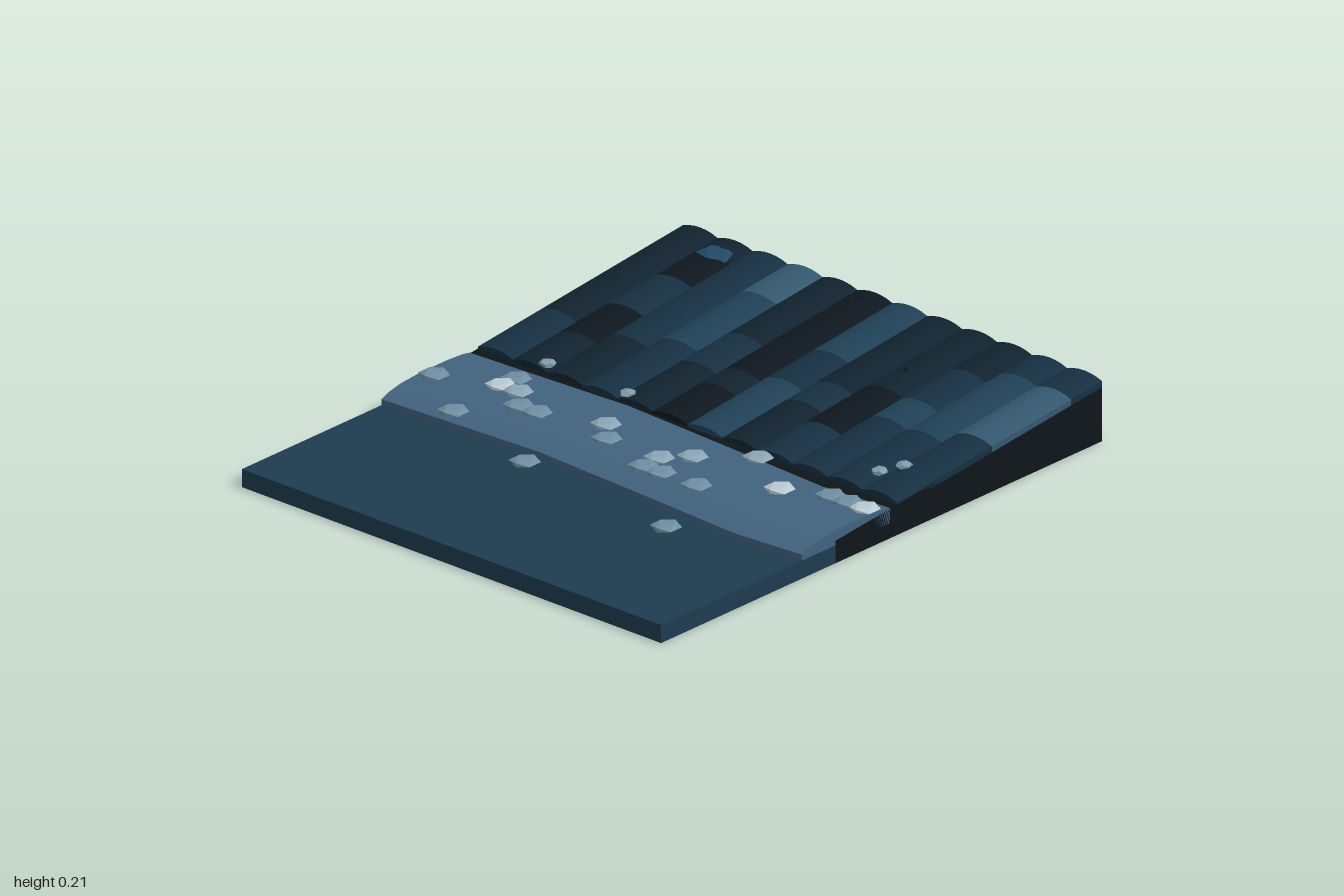
import * as THREE from 'three';
import { toCreasedNormals } from 'three/addons/utils/BufferGeometryUtils.js';

const HALF = 0.857;

// Closed solid through convex (z, y) outlines placed at stations along x.
// Outlines run front-bottom, front-top, back-top, back-bottom.
function loft(sections, crease = 0.6) {
  const pos = [];
  const n = sections[0].outline.length;
  const put = (s, j) => pos.push(s.x, s.outline[j % n][1], s.outline[j % n][0]);
  for (let i = 0; i < sections.length - 1; i++) {
    const a = sections[i], b = sections[i + 1];
    for (let j = 0; j < n; j++) {
      put(a, j); put(b, j); put(b, j + 1);
      put(a, j); put(b, j + 1); put(a, j + 1);
    }
  }
  const first = sections[0], last = sections[sections.length - 1];
  for (let j = 1; j < n - 1; j++) {
    put(first, 0); put(first, j); put(first, j + 1);
    put(last, 0); put(last, j + 1); put(last, j);
  }
  const g = new THREE.BufferGeometry();
  g.setAttribute('position', new THREE.Float32BufferAttribute(pos, 3));
  return toCreasedNormals(g, crease);
}

function add(parent, name, geometry, color, flatShading = false) {
  const mesh = new THREE.Mesh(geometry, new THREE.MeshStandardMaterial({ color, flatShading }));
  mesh.name = name;
  parent.add(mesh);
  return mesh;
}

export function createModel() {
  const model = new THREE.Group();
  model.name = 'shoreTile';

  // Flat front plate
  const plate = add(model, 'frontPlate', new THREE.BoxGeometry(2 * HALF, 0.06, 0.79), 0x1e3c50);
  plate.position.set(0, 0.03, 0.605);

  // Dark wedge under the slope
  const wedge = [[0.21, 0], [0.21, 0.075], [-1, 0.19], [-1, 0]];
  add(model, 'slopeBase', loft([-HALF, HALF].map(x => ({ x, outline: wedge }))), 0x0e151a);

  // Twelve ridged strips, each split into shaded lengths: [back end z, shade]
  const shades = [0x0f181f, 0x11232f, 0x163042, 0x1f4156, 0x34586f];
  const strips = [
    [[-0.36, 2], [-0.64, 1], [-1, 1]],
    [[-0.29, 1], [-0.5, 0], [-0.72, 2], [-0.9, 0], [-1, 1]],
    [[-0.36, 1], [-0.57, 2], [-1, 2]],
    [[-0.43, 2], [-0.79, 3], [-1, 4]],
    [[-0.36, 1], [-0.57, 2], [-1, 1]],
    [[-0.29, 0], [-0.4, 1], [-0.79, 0], [-1, 0]],
    [[-0.43, 3], [-0.64, 2], [-0.86, 3], [-1, 3]],
    [[-0.36, 1], [-0.5, 2], [-1, 1]],
    [[-0.29, 2], [-0.57, 0], [-0.64, 1], [-1, 1]],
    [[-0.43, 2], [-0.57, 3], [-0.79, 2], [-1, 1]],
    [[-0.43, 2], [-0.6, 3], [-0.86, 3], [-1, 2]],
    [[-0.5, 2], [-0.86, 4], [-1, 2]],
  ];
  const width = 2 * HALF / strips.length;
  const slopeY = z => 0.108 + (-0.07 - z) * 0.099;
  const arch = [0, 0.008, 0.0125, 0.014, 0.0125, 0.008, 0];
  const ridges = new THREE.Group();
  ridges.name = 'ridgedSlope';
  model.add(ridges);
  strips.forEach((lengths, i) => {
    let z0 = -0.07;
    for (const [z1, shade] of lengths) {
      const sections = arch.map((h, k) => ({
        x: -HALF + width * (i + k / (arch.length - 1)),
        outline: [[z0, slopeY(z0) - 0.02], [z0, slopeY(z0) + h], [z1, slopeY(z1) + h], [z1, slopeY(z1) - 0.02]],
      }));
      add(ridges, 'ridgeStrip', loft(sections), shades[shade]);
      z0 = z1;
    }
  });

  // Winding low bank
  const bank = [[0.2, 0.05], [0.2, 0.08], [0.17, 0.092], [0.11, 0.104], [0.02, 0.11],
    [-0.1, 0.11], [-0.17, 0.106], [-0.2, 0.101], [-0.2, 0.05]];
  const course = [[-HALF, 0.168], [-0.55, 0.152], [-0.24, 0.135], [0.2, 0.158], [0.6, 0.182], [HALF, 0.162]];
  add(model, 'bank', loft(course.map(([x, c]) => ({ x, outline: bank.map(([z, y]) => [z + c, y]) })), 0.9), 0x41637f);

  // Flattened pebbles: [x, z, y, shade]
  const pebbleShades = [0x6f8ea2, 0x8ba6b5, 0xb9cad2];
  const pebbleGeo = new THREE.IcosahedronGeometry(0.05, 0).scale(1, 0.27, 1);
  const pebbles = new THREE.Group();
  pebbles.name = 'pebbles';
  model.add(pebbles);
  [
    [-0.815, 0.175, 0.113, 0], [-0.61, 0.03, 0.112, 0], [-0.61, 0.1, 0.114, 2], [-0.54, 0.1, 0.114, 1],
    [-0.47, 0.175, 0.114, 0], [-0.395, 0.175, 0.114, 0], [-0.61, 0.315, 0.1, 0], [-0.25, 0.39, 0.066, 0],
    [-0.18, 0.1, 0.114, 1], [-0.11, 0.175, 0.113, 0], [0.105, 0.175, 0.114, 1], [0.175, 0.1, 0.114, 1],
    [0.105, 0.245, 0.11, 0], [0.175, 0.245, 0.11, 0], [0.32, 0.245, 0.111, 0], [0.32, -0.035, 0.109, 1],
    [0.53, 0.1, 0.115, 2], [0.675, 0.03, 0.112, 0], [0.745, 0.03, 0.112, 0], [0.815, 0.03, 0.112, 2],
    [0.39, 0.46, 0.067, 0],
  ].forEach(([x, z, y, s]) => add(pebbles, 'pebble', pebbleGeo, pebbleShades[s], true).position.set(x, y, z));

  // Small tilted stones on the slope
  [[-0.6, -0.1], [-0.27, -0.1], [0.69, -0.175], [0.73, -0.245]].forEach(([x, z], i) => {
    const stone = add(model, 'slopeStone', new THREE.DodecahedronGeometry(0.028, 0), 0x809bab, true);
    stone.scale.y = 0.45;
    stone.position.set(x, slopeY(z) + 0.01, z);
    stone.rotation.y = 0.5 + i * 1.3;
  });

  // Mostly buried rocks: [x, z, radius, colour]
  [[-0.645, -0.925, 0.07, 0x1f4a66], [-0.08, -0.96, 0.05, 0x0c1318], [0.35, -0.7, 0.05, 0x0c1318]].forEach(([x, z, r, color]) => {
    const rock = add(model, 'buriedRock', new THREE.IcosahedronGeometry(r, 0), color, true);
    rock.scale.y = 0.25;
    rock.position.set(x, slopeY(z) + 0.002, z);
  });

  return model;
}
